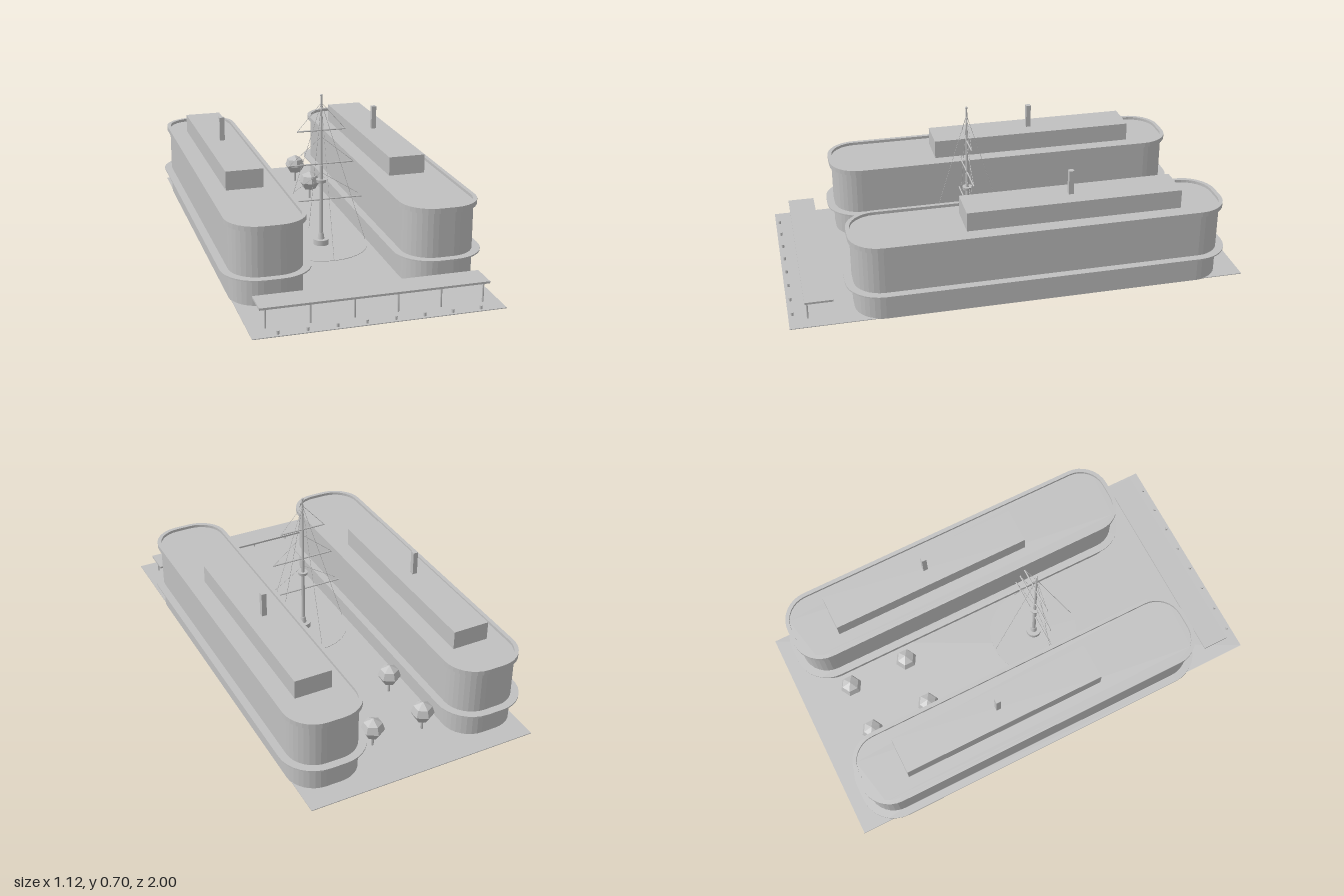
import * as THREE from 'three';

const stone = new THREE.MeshStandardMaterial({ color: 0xc0c0c0 });
stone.name = 'stoneGrey';

function add(parent, name, geo, x = 0, y = 0, z = 0) {
  const m = new THREE.Mesh(geo, stone);
  m.name = name;
  m.position.set(x, y, z);
  parent.add(m);
  return m;
}

const box = (w, h, d) => new THREE.BoxGeometry(w, h, d);
const cyl = (r, h, n = 8, r2 = r) => new THREE.CylinderGeometry(r2, r, h, n);

// thin rod between two points
function rod(parent, name, a, b, r, n = 5) {
  const dir = b.clone().sub(a);
  const m = add(parent, name, cyl(r, dir.length(), n));
  m.position.copy(a).add(b).multiplyScalar(0.5);
  m.quaternion.setFromUnitVectors(new THREE.Vector3(0, 1, 0), dir.normalize());
}

// rounded rectangle outline with an even offset from the building wall
function outline(offset, Type = THREE.Shape) {
  const w = 0.155, d = 0.81, r = 0.12, s = new Type();
  const cx = w - r, cy = d - r, R = r + offset, q = Math.PI / 2;
  s.absarc(cx, cy, R, 0, q);
  s.absarc(-cx, cy, R, q, 2 * q);
  s.absarc(-cx, -cy, R, 2 * q, 3 * q);
  s.absarc(cx, -cy, R, 3 * q, 4 * q);
  s.closePath();
  return s;
}

function slab(outer, inner, height) {
  const s = outline(outer);
  if (inner !== null) s.holes.push(outline(inner, THREE.Path));
  const g = new THREE.ExtrudeGeometry(s, { depth: height, bevelEnabled: false, curveSegments: 4 });
  return g.rotateX(-Math.PI / 2);
}

function building(side) {
  const g = new THREE.Group();
  g.name = side > 0 ? 'leftBuilding' : 'rightBuilding';
  g.position.set(side * 0.37, 0, -0.093);
  add(g, 'walls', slab(0, null, 0.333));
  add(g, 'parapet', slab(0.015, -0.003, 0.022), 0, 0.324);
  add(g, 'canopy', slab(0.035, -0.004, 0.006), 0, 0.12);
  add(g, 'roofHouse', box(0.166, 0.09, 0.95), 0, 0.373, -0.147);
  add(g, 'chimney', box(0.022, 0.12, 0.022), 0, 0.467, -0.145);
  return g;
}

function mast() {
  const g = new THREE.Group();
  g.name = 'mast';
  g.position.z = 0.14;
  add(g, 'plazaDisc', cyl(0.21, 0.005, 32), 0, 0.0025);
  add(g, 'mastBase', cyl(0.035, 0.03, 16), 0, 0.015);
  add(g, 'mastFoot', cyl(0.016, 0.03, 12, 0.011), 0, 0.044);
  add(g, 'lowerMast', cyl(0.009, 0.335, 10, 0.008), 0, 0.21);
  add(g, 'topMast', cyl(0.006, 0.18, 8), 0, 0.45);
  add(g, 'upperMast', cyl(0.005, 0.17, 8, 0.004), 0, 0.615);
  add(g, 'mastCap', new THREE.SphereGeometry(0.006, 8, 6), 0, 0.699);
  add(g, 'lookout', cyl(0.021, 0.014, 16, 0.023), 0, 0.306);
  // yards and the lines that hold them: yard height, half length, line foot x, y, line top
  for (const [y, half, fx, fy, top] of [
    [0.217, 0.19, 0.17, 0.235, 0.345],
    [0.385, 0.15, 0.15, 0.385, 0.51],
    [0.54, 0.11, 0.11, 0.54, 0.665],
  ]) {
    add(g, 'yard', cyl(0.0035, half * 2, 8).rotateZ(Math.PI / 2), 0, y);
    for (const s of [-1, 1])
      rod(g, 'yardLine', new THREE.Vector3(0, top, 0), new THREE.Vector3(s * fx, fy, 0), 0.001);
  }
  // stays to the ground on four sides
  for (const [x, z] of [[0.21, 0], [-0.21, 0], [0, 0.205], [0, -0.205]])
    rod(g, 'stay', new THREE.Vector3(0, 0.665, 0), new THREE.Vector3(x, 0.003, z), 0.001);
  return g;
}

function tree(x, z) {
  const g = new THREE.Group();
  g.name = 'tree';
  g.position.set(x, 0, z);
  add(g, 'trunk', cyl(0.006, 0.065, 6), 0, 0.0325);
  const profile = [[0, 0.048], [0.03, 0.055], [0.051, 0.09], [0.04, 0.123], [0, 0.145]];
  const crown = new THREE.LatheGeometry(profile.map(p => new THREE.Vector2(...p)), 6).toNonIndexed();
  crown.computeVertexNormals();
  add(g, 'crown', crown);
  return g;
}

export function createModel() {
  const root = new THREE.Group();
  root.name = 'harbourBuildings';
  add(root, 'ground', box(1.04, 0.003, 2), 0, 0.0015);
  root.add(building(1), building(-1), mast());
  for (const x of [-0.12, 0.12]) for (const z of [-0.765, -0.48]) root.add(tree(x, z));

  // open shelter along the quay
  const shelter = new THREE.Group();
  shelter.name = 'shelter';
  add(shelter, 'shelterRoof', box(0.95, 0.009, 0.12), 0, 0.088, 0.87);
  for (let i = 0; i < 6; i++) add(shelter, 'post', cyl(0.004, 0.085, 8), -0.45 + i * 0.18, 0.0425, 0.92);
  root.add(shelter);

  // row of bollards
  for (let i = 0; i < 8; i++) add(root, 'bollard', cyl(0.006, 0.018, 8), -0.416 + i * 0.1188, 0.009, 0.982);
  return root;
}
